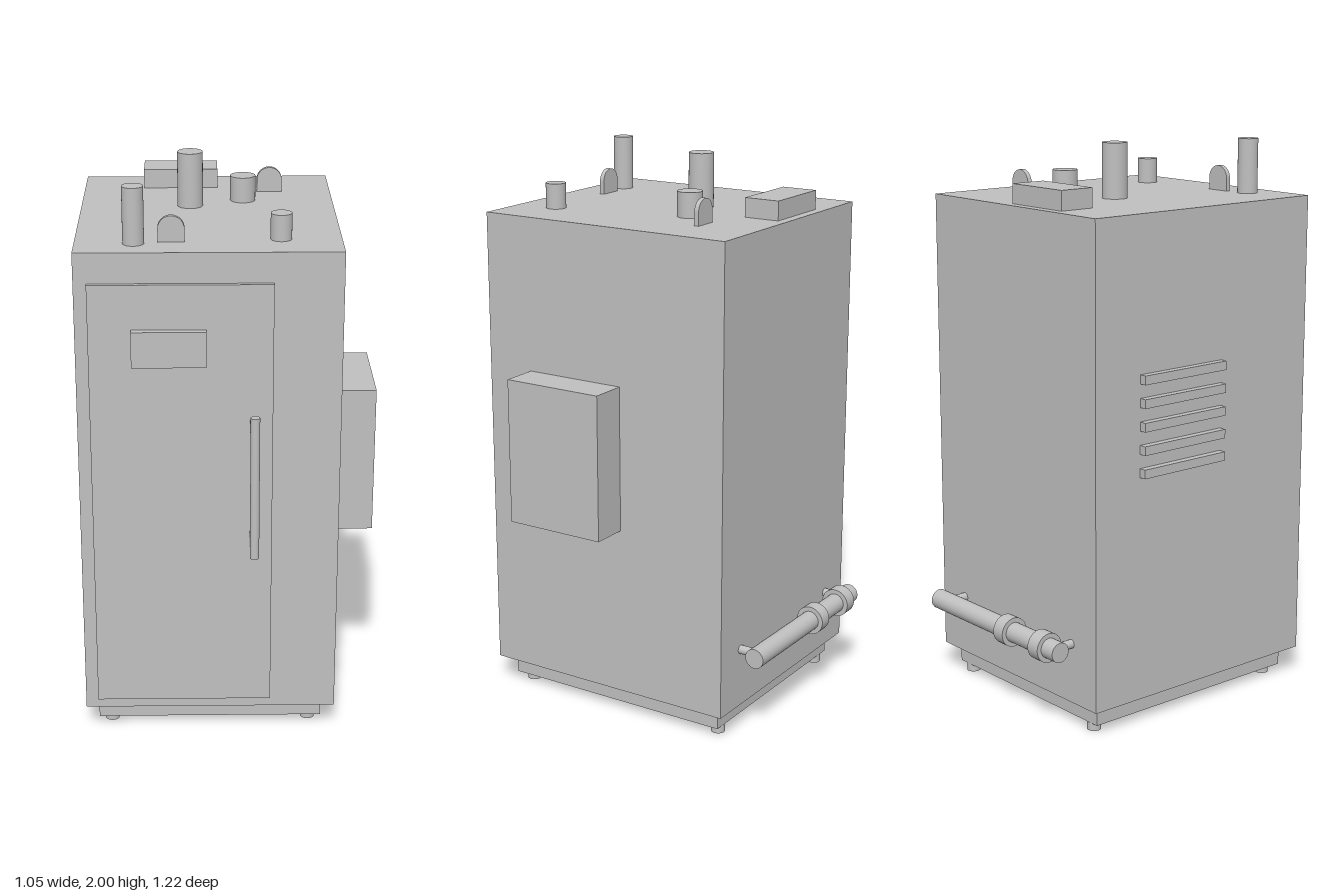
import * as THREE from 'three';

export function createModel() {
  const model = new THREE.Group();
  model.name = 'industrialCabinet';
  const grey = new THREE.MeshStandardMaterial({ color: 0xc0c0c0 });
  grey.name = 'paintedGrey';

  const add = (name, geometry, x, y, z) => {
    const mesh = new THREE.Mesh(geometry, grey);
    mesh.name = name;
    mesh.position.set(x, y, z);
    model.add(mesh);
    return mesh;
  };
  // Box given by its extents on each axis
  const box = (name, [x0, x1], [y0, y1], [z0, z1]) =>
    add(name, new THREE.BoxGeometry(x1 - x0, y1 - y0, z1 - z0),
      (x0 + x1) / 2, (y0 + y1) / 2, (z0 + z1) / 2);
  // Upright cylinder from y0 to y1
  const post = (name, x, z, r, y0, y1) =>
    add(name, new THREE.CylinderGeometry(r, r, y1 - y0, 32), x, (y0 + y1) / 2, z);

  const top = 1.805;

  // Cabinet, plinth and feet
  box('cabinetBody', [-0.503, 0.39], [0.1, top], [-0.474, 0.51]);
  box('plinth', [-0.46, 0.345], [0.03, 0.1], [-0.434, 0.46]);
  for (const x of [-0.415, 0.3]) {
    for (const z of [-0.41, 0.415]) post('foot', x, z, 0.025, 0, 0.03);
  }

  // Door with display panel and bar handle
  box('door', [-0.459, 0.158], [0.14, 1.7], [0.51, 0.526]);
  box('displayPanel', [-0.316, -0.066], [1.42, 1.545], [0.526, 0.552]);
  post('handleBar', 0.096, 0.592, 0.016, 0.737, 1.257);
  for (const y of [0.792, 1.205]) {
    box('handleBracket', [0.08, 0.112], [y - 0.016, y + 0.016], [0.526, 0.59]);
  }

  // Side control box and vent slats
  box('controlBox', [0.39, 0.525], [0.72, 1.25], [-0.053, 0.33]);
  for (let i = 0; i < 5; i++) {
    const y = 0.923 + i * 0.0815;
    box('ventSlat', [-0.529, -0.503], [y - 0.016, y + 0.016], [-0.278, 0.095]);
  }

  // Roof ports and junction box
  post('tallFrontPort', -0.306, 0.401, 0.036, top, 2);
  post('tallCentrePort', -0.118, -0.065, 0.045, top, 2);
  post('shortRearPort', 0.07, -0.137, 0.045, top, 1.895);
  post('shortFrontPort', 0.186, 0.356, 0.036, top, 1.895);
  box('junctionBox', [-0.287, -0.019], [top, 1.874], [-0.439, -0.306]);

  // Round-topped lifting lugs
  const arch = new THREE.Shape();
  arch.moveTo(-0.045, 0);
  arch.lineTo(0.045, 0);
  arch.lineTo(0.045, 0.045);
  arch.absarc(0, 0.045, 0.045, 0, Math.PI, false);
  arch.closePath();
  const lug = new THREE.ExtrudeGeometry(arch, { depth: 0.017, bevelEnabled: false, curveSegments: 16 });
  add('liftingLug', lug, -0.181, top, 0.374);
  add('liftingLug', lug, 0.169, top, -0.262);

  // Rear pipe with collars and wall stubs
  const pipeY = 0.317, pipeZ = -0.557;
  const pipe = (name, x0, x1, r) => {
    const mesh = add(name, new THREE.CylinderGeometry(r, r, x1 - x0, 32), (x0 + x1) / 2, pipeY, pipeZ);
    mesh.rotation.z = Math.PI / 2;
  };
  pipe('rearPipe', -0.413, 0.303, 0.036);
  pipe('pipeCollar', -0.352, -0.298, 0.053);
  pipe('pipeCollar', -0.153, -0.101, 0.053);
  for (const x of [-0.37, 0.257]) {
    const stub = add('pipeStub', new THREE.CylinderGeometry(0.016, 0.016, 0.083, 24), x, pipeY, -0.5155);
    stub.rotation.x = Math.PI / 2;
  }
  return model;
}
